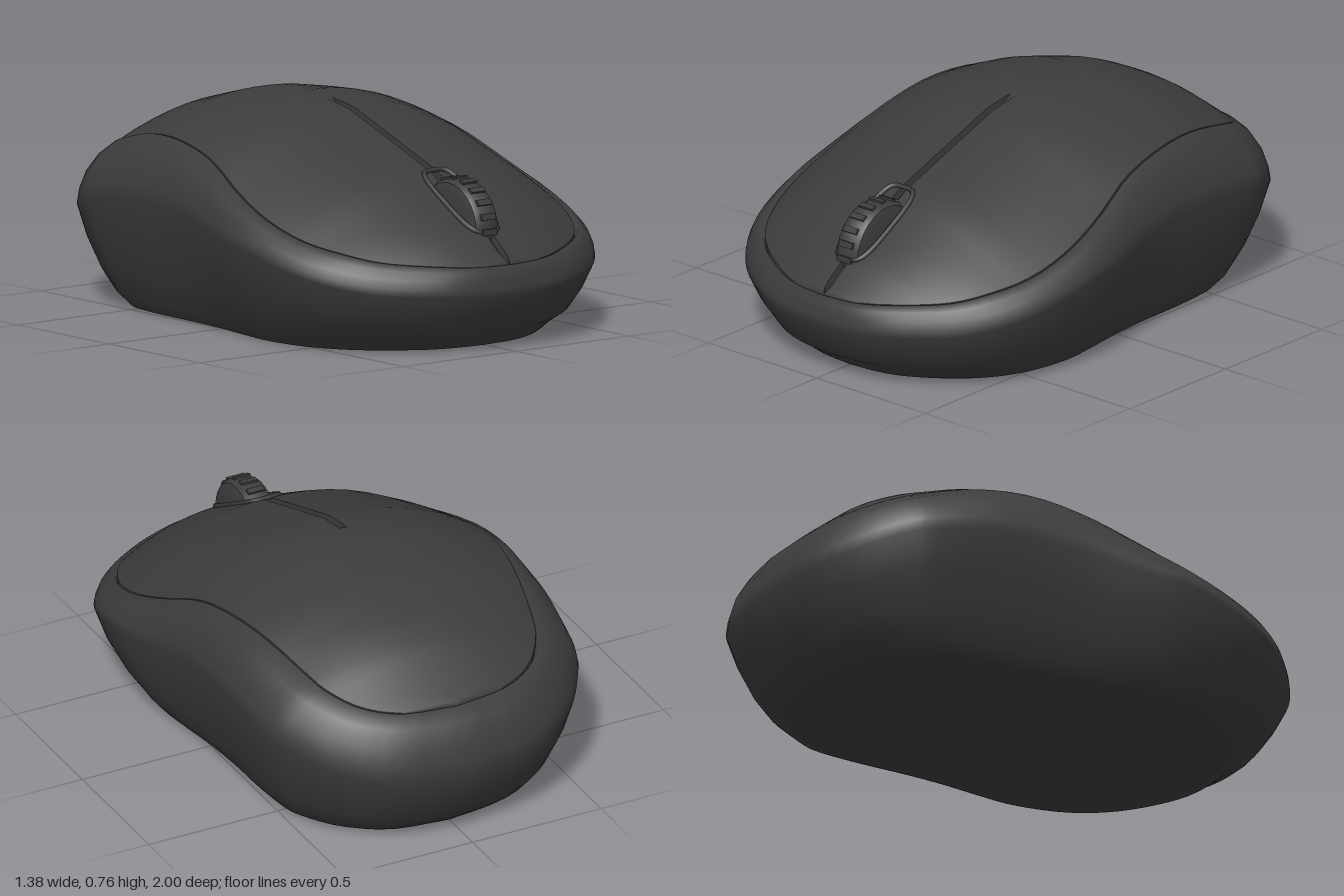
import * as THREE from 'three';
import { toCreasedNormals } from 'three/addons/utils/BufferGeometryUtils.js';

const N = 48; // samples along each half outline, front to back
const mat = new THREE.MeshStandardMaterial({ color: 0x3c3c3c });

// Half outlines (x, y, z) from the front tip round the left side to the back tip
const SEAM = [
  [0, .30, .97], [.14, .302, .955], [.27, .31, .90], [.42, .325, .80], [.51, .35, .70], [.58, .385, .55],
  [.605, .44, .38], [.59, .51, .2], [.55, .595, 0], [.525, .635, -.2], [.49, .63, -.4], [.445, .585, -.6],
  [.41, .555, -.7], [.33, .52, -.8], [.2, .497, -.865], [0, .49, -.89]];
const WAIST = [
  [0, .2, 1], [.16, .2, .985], [.3, .21, .94], [.47, .22, .83], [.59, .25, .70], [.66, .29, .55],
  [.69, .34, .36], [.675, .36, .2], [.645, .40, 0], [.63, .42, -.2], [.625, .42, -.4], [.605, .39, -.6],
  [.565, .37, -.7], [.46, .32, -.84], [.27, .28, -.96], [0, .265, -1]];
// Centre line of the cover (z, y)
const SPINE = [[.97, .30], [.84, .40], [.55, .57], [.3, .66], [.08, .738], [-.13, .765], [-.4, .745],
  [-.6, .69], [-.7, .64], [-.89, .49]];

function sample(points) {
  const curve = new THREE.CatmullRomCurve3(points.map(p => new THREE.Vector3(...p)), false, 'catmullrom', 0.5);
  return Array.from({ length: N + 1 }, (_, i) => curve.getPoint(i / N));
}

function spineY(z) {
  const k = Math.max(1, SPINE.findIndex(p => p[0] <= z));
  const i = z < -.89 ? SPINE.length - 1 : k;
  const [a, b] = [SPINE[i - 1], SPINE[i]];
  return THREE.MathUtils.lerp(a[1], b[1], THREE.MathUtils.clamp((z - a[0]) / (b[0] - a[0]), 0, 1));
}

// Surface through a list of equally long rows of points
function loft(rows, closed, flip) {
  const n = rows[0].length, pos = rows.flat().flatMap(p => [p.x, p.y, p.z]), idx = [];
  for (let r = 0; r < rows.length - 1; r++) {
    for (let i = 0; i < (closed ? n : n - 1); i++) {
      const a = r * n + i, b = r * n + (i + 1) % n, c = a + n, d = b + n;
      if (flip) idx.push(a, b, c, b, d, c);
      else idx.push(a, c, b, b, c, d);
    }
  }
  const g = new THREE.BufferGeometry();
  g.setAttribute('position', new THREE.Float32BufferAttribute(pos, 3));
  g.setIndex(idx);
  g.computeVertexNormals();
  return g;
}

function add(parent, name, geometry, material = mat) {
  const mesh = new THREE.Mesh(geometry, material);
  mesh.name = name;
  parent.add(mesh);
  return mesh;
}

// Lower shell: rings from the seam ledge down over the waist to the flat base
function shellGeometry(seam, waist) {
  const V = (x, y, z) => new THREE.Vector3(x, y, z);
  const blend = (f, h) => seam.map((s, i) => {
    const w = waist[i];
    return V(s.x + (w.x - s.x) * f, s.y + (w.y - s.y) * h, s.z + (w.z - s.z) * f);
  });
  const lower = (kx, kz, h) => waist.map(w => V(w.x * kx, h(w.y), w.z * kz));
  const halves = [
    seam.map(s => V(s.x * .94, s.y - .035, s.z * .96)),
    seam.map(s => V(s.x * .985, s.y - .02, s.z * .99)),
    seam,
    blend(.42, .18), blend(.76, .46), blend(.94, .76), waist,
    lower(.955, .965, y => y * .66), lower(.885, .92, y => y * .33),
    lower(.82, .875, y => .04), lower(.77, .825, y => 0), lower(.74, .79, y => 0), lower(0, 0, y => 0)];
  const rings = halves.map(h => [...h, ...h.slice(1, -1).reverse().map(p => V(-p.x, p.y, p.z))]);
  return loft(rings, true, false);
}

// Domed top cover with a skirt at its edge and a groove between the two buttons
function coverGeometry(seam) {
  const right = [-1, -.96, -.9, -.8, -.68, -.55, -.42, -.3, -.18, -.08];
  const left = right.map(s => -s).reverse();
  const rows = seam.map(p => {
    const w = p.x * .985, z = p.z * .992, top = spineY(z), base = Math.min(p.y, top);
    const at = (x, drop = 0) => {
      const s = w > 1e-4 ? Math.min(1, Math.abs(x) / w) : 1;
      return new THREE.Vector3(x, base + (top - base) * (1 - s ** 2.2) - drop, z);
    };
    const g = x => Math.sign(x) * Math.min(Math.abs(x), w * .07);
    const deep = z > 0 && z < .962 ? .03 : 0;
    return [at(-w, .04), ...right.map(s => at(s * w)), at(g(-.014)), at(g(-.012), deep),
      at(g(.012), deep), at(g(.014)), ...left.map(s => at(s * w)), at(w, .04)];
  });
  return toCreasedNormals(loft(rows, false, true), 0.6);
}

// Scroll wheel with rounded tyre, tread ribs and a rim round its opening
function scrollWheel() {
  const group = new THREE.Group();
  group.name = 'scrollWheel';
  const R = .168, W = .056;
  const profile = [[.05, -W], [R - .035, -W], [R - .012, -W * .85], [R, -W * .5], [R, W * .5],
    [R - .012, W * .85], [R - .035, W], [.05, W]].map(p => new THREE.Vector2(...p));
  const axle = new THREE.Group();
  axle.position.set(0, .398, .685);
  add(axle, 'wheelTyre', toCreasedNormals(new THREE.LatheGeometry(profile, 28), 0.6)).rotation.z = Math.PI / 2;
  for (let i = 0; i < 20; i++) {
    const a = i / 20 * Math.PI * 2;
    const rib = add(axle, 'wheelRib', new THREE.BoxGeometry(W * 1.1, .012, .022));
    rib.position.set(0, Math.cos(a) * R, Math.sin(a) * R);
    rib.rotation.x = a;
  }
  group.add(axle);

  const rim = [];
  for (let i = 0; i < 24; i++) {
    const a = i / 24 * Math.PI * 2, c = Math.cos(a), s = Math.sin(a);
    const x = .07 * Math.sign(c) * Math.abs(c) ** .45, z = .695 + .15 * Math.sign(s) * Math.abs(s) ** .6;
    rim.push(new THREE.Vector3(x, spineY(z) + .003, z));
  }
  add(group, 'wheelRim', new THREE.TubeGeometry(new THREE.CatmullRomCurve3(rim, true), 60, .009, 6, true));
  return group;
}

export function createModel() {
  const model = new THREE.Group();
  model.name = 'computerMouse';
  const seam = sample(SEAM), waist = sample(WAIST);
  const shellMat = mat.clone();
  shellMat.side = THREE.DoubleSide;
  add(model, 'lowerShell', shellGeometry(seam, waist), shellMat);
  add(model, 'topCover', coverGeometry(seam), shellMat);
  model.add(scrollWheel());
  return model;
}
